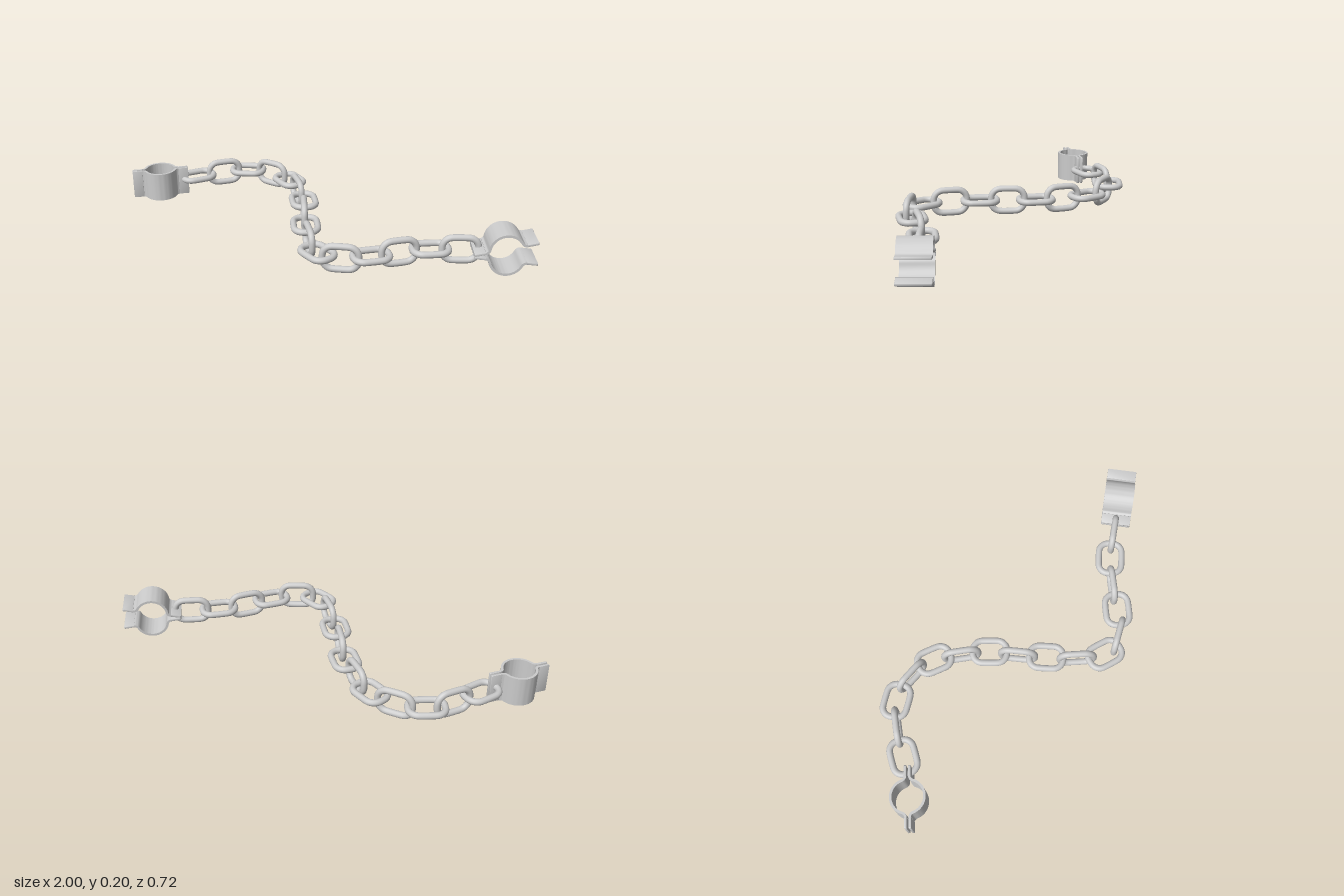
import * as THREE from 'three';
import { toCreasedNormals } from 'three/addons/utils/BufferGeometryUtils.js';

const material = new THREE.MeshStandardMaterial({ color: 0xcccccc });
const CHAIN_Y = 0.099;

// cuff dimensions: shell radius, fillet radius, tab offset, wall, width, tab end
const R = 0.074, F = 0.02, GAP = 0.0095, WALL = 0.011, WIDTH = 0.14, END = 0.138;
const ROOT = Math.sqrt((R + F) ** 2 - (GAP + F) ** 2); // where a tab meets its fillet
const HOLE = 0.113;

function mesh(name, geometry) {
  const m = new THREE.Mesh(geometry, material);
  m.name = name;
  return m;
}

// One link: a round bar swept round a rounded rectangle in the xy plane
function linkGeometry() {
  const a = 0.0785, b = 0.054, r = 0.045;
  const points = [];
  [[1, 1], [-1, 1], [-1, -1], [1, -1]].forEach(([sx, sy], q) => {
    for (let i = 0; i <= 6; i++) {
      const t = (q + i / 6) * Math.PI / 2;
      points.push(new THREE.Vector3(sx * (a - r) + r * Math.cos(t), sy * (b - r) + r * Math.sin(t), 0));
    }
  });
  const path = new THREE.CatmullRomCurve3(points, true);
  return new THREE.TubeGeometry(path, 64, 0.015, 12, true);
}

// Half shell: an arc with a flared fillet at each side, thickened and extruded
function shellGeometry() {
  const start = Math.atan2(GAP + F, ROOT);
  const offset = (d) => {
    const pts = [];
    for (let i = 0; i <= 6; i++) { // right fillet, from tab to arc
      const t = -Math.PI / 2 - (Math.PI / 2 - start) * i / 6;
      pts.push(new THREE.Vector2(ROOT + (F - d) * Math.cos(t), GAP + F + (F - d) * Math.sin(t)));
    }
    for (let i = 1; i < 28; i++) { // arc
      const t = start + (Math.PI - 2 * start) * i / 28;
      pts.push(new THREE.Vector2((R + d) * Math.cos(t), (R + d) * Math.sin(t)));
    }
    const left = pts.slice(0, 7).reverse().map((p) => new THREE.Vector2(-p.x, p.y));
    return pts.concat(left);
  };
  const outline = offset(WALL / 2).concat(offset(-WALL / 2).reverse());
  const geometry = new THREE.ExtrudeGeometry(new THREE.Shape(outline), { depth: WIDTH, bevelEnabled: false });
  geometry.translate(0, 0, -WIDTH / 2);
  return toCreasedNormals(geometry, 0.6);
}

// Flat tab with a round hole
function tabGeometry() {
  const w = WIDTH / 2, c = 0.006, bevel = 0.002;
  const shape = new THREE.Shape();
  shape.moveTo(ROOT, -w);
  shape.lineTo(END - c, -w);
  shape.quadraticCurveTo(END, -w, END, -w + c);
  shape.lineTo(END, w - c);
  shape.quadraticCurveTo(END, w, END - c, w);
  shape.lineTo(ROOT, w);
  const hole = new THREE.Path();
  hole.absarc(HOLE, 0, 0.02, 0, Math.PI * 2, true);
  shape.holes.push(hole);
  const geometry = new THREE.ExtrudeGeometry(shape, {
    depth: WALL - 2 * bevel, bevelThickness: bevel, bevelSize: bevel, bevelOffset: -bevel,
    bevelSegments: 2, curveSegments: 24,
  });
  geometry.translate(0, 0, bevel - WALL / 2);
  geometry.rotateX(-Math.PI / 2);
  geometry.translate(0, GAP, 0);
  return toCreasedNormals(geometry, 0.6);
}

// Cuff of two halves, each swung open by an angle about the chain-side tab
function createCuff(name, openUpper, openLower) {
  const cuff = new THREE.Group();
  cuff.name = name;
  const shell = shellGeometry(), tab = tabGeometry();
  [['upperHalf', 0, openUpper], ['lowerHalf', Math.PI, -openLower]].forEach(([halfName, flip, angle]) => {
    const hinge = new THREE.Group();
    hinge.name = halfName;
    hinge.position.x = -HOLE;
    hinge.rotation.z = angle;
    const half = new THREE.Group();
    half.position.x = HOLE;
    half.rotation.x = flip;
    const chainTab = mesh('chainTab', tab);
    chainTab.rotation.y = Math.PI;
    half.add(mesh('halfShell', shell), mesh('lockTab', tab), chainTab);
    hinge.add(half);
    cuff.add(hinge);
  });
  return cuff;
}

export function createModel() {
  const model = new THREE.Group();
  model.name = 'shackleChain';

  // Chain: centres of the links as x, z; the first and last are the tab holes
  const path = [
    [-0.812, 0.004], [-0.778, -0.067], [-0.7, -0.185], [-0.615, -0.275], [-0.485, -0.308],
    [-0.36, -0.287], [-0.257, -0.212], [-0.157, -0.125], [-0.08, -0.018], [0, 0.085],
    [0.092, 0.192], [0.195, 0.275], [0.305, 0.262], [0.403, 0.172], [0.483, 0.072],
    [0.582, -0.027], [0.69, -0.1], [0.757, -0.14],
  ];
  const link = linkGeometry();
  const chain = new THREE.Group();
  chain.name = 'chain';
  for (let i = 1; i < path.length - 1; i++) {
    const [x0, z0] = path[i - 1], [x1, z1] = path[i + 1];
    const m = mesh('link', link);
    m.position.set(path[i][0], CHAIN_Y, path[i][1]);
    // odd links lie flat, even links stand upright
    m.rotation.set(i % 2 ? Math.PI / 2 : 0, Math.atan2(z0 - z1, x1 - x0), 0, 'YXZ');
    chain.add(m);
  }
  model.add(chain);

  // Closed cuff standing on its edge
  const closed = createCuff('closedCuff', 0, 0);
  closed.position.set(-0.893, 0.093, 0.085);
  closed.rotation.set(Math.PI / 2, Math.PI + 0.8, 0, 'YXZ');
  model.add(closed);

  // Open cuff lying on its side
  const open = createCuff('openCuff', 0.21, 0.12);
  open.position.set(0.85, 0.099, -0.205);
  open.rotation.y = 0.6;
  model.add(open);

  return model;
}
